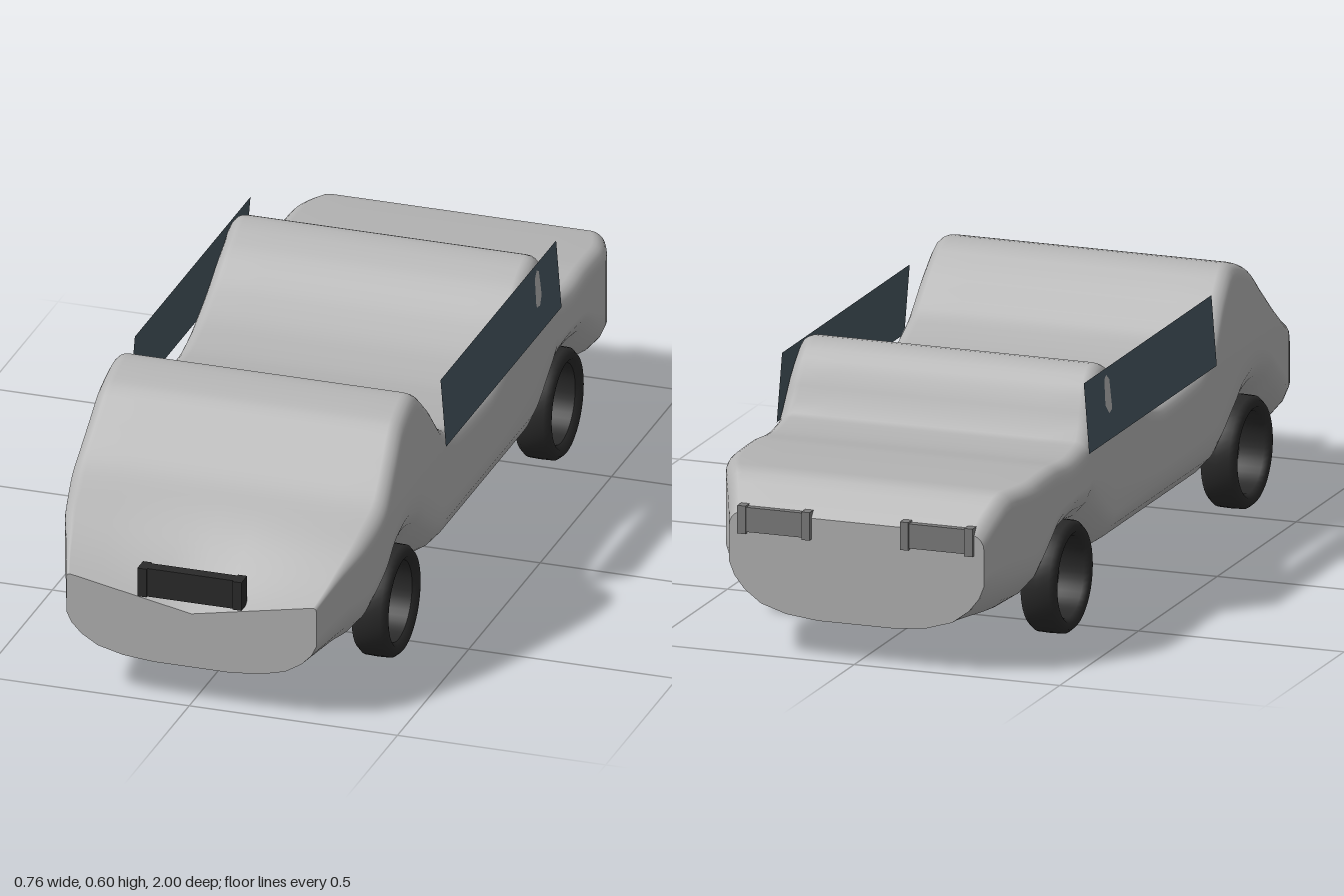
import * as THREE from 'three';

const paint = new THREE.MeshStandardMaterial({ color: 0xb2b2b2 });
paint.name = 'silver paint';
const rubber = new THREE.MeshStandardMaterial({ color: 0x2a2a2a });
rubber.name = 'black rubber';
const glass = new THREE.MeshStandardMaterial({ color: 0x475660, side: THREE.DoubleSide });
glass.name = 'dark glass';
const lamp = new THREE.MeshStandardMaterial({ color: 0x7c7c7c });
lamp.name = 'grey lamp';

// Body outlines as [z, value] pairs
const TOP = [[-0.985, 0.33], [-0.95, 0.37], [-0.9, 0.413], [-0.7, 0.42], [-0.6, 0.412], [-0.5, 0.425],
  [-0.43, 0.54], [-0.375, 0.583], [-0.3, 0.55], [-0.2, 0.47], [-0.1, 0.415], [0, 0.395], [0.2, 0.405],
  [0.31, 0.45], [0.4, 0.55], [0.47, 0.6], [0.56, 0.573], [0.63, 0.51], [0.72, 0.43], [0.85, 0.36], [0.985, 0.28]];
const BOTTOM = [[-0.985, 0.09], [-0.83, 0.092], [-0.72, 0.145], [-0.65, 0.195], [-0.57, 0.213], [-0.49, 0.195],
  [-0.43, 0.155], [-0.3, 0.09], [0.3, 0.09], [0.43, 0.155], [0.49, 0.195], [0.57, 0.213], [0.65, 0.195],
  [0.72, 0.145], [0.82, 0.092], [0.985, 0.09]];
const WIDTH = [[-0.985, 0.31], [-0.8, 0.378], [0.7, 0.378], [0.81, 0.362], [0.9, 0.33], [0.985, 0.3]];

// Smooth curve through pairs, without overshoot
function sample(pairs, z) {
  const last = pairs.length - 1;
  const slope = i => (pairs[i + 1][1] - pairs[i][1]) / (pairs[i + 1][0] - pairs[i][0]);
  const tangent = i => {
    if (i === 0) return slope(0);
    if (i === last) return slope(last - 1);
    const a = slope(i - 1), b = slope(i);
    return a * b <= 0 ? 0 : 2 * a * b / (a + b);
  };
  let i = 0;
  while (i < last - 1 && z > pairs[i + 1][0]) i++;
  const h = pairs[i + 1][0] - pairs[i][0], t = (z - pairs[i][0]) / h, t2 = t * t, t3 = t2 * t;
  return (2 * t3 - 3 * t2 + 1) * pairs[i][1] + (t3 - 2 * t2 + t) * h * tangent(i)
    + (3 * t2 - 2 * t3) * pairs[i + 1][1] + (t3 - t2) * h * tangent(i + 1);
}

// Closed cross-section: bottom centre, up the left side, over the top, down the right
function section(z) {
  const w = sample(WIDTH, z), yb = sample(BOTTOM, z), yt = sample(TOP, z);
  const c = Math.min(0.13, (yt - yb) * 0.5);
  const nose = THREE.MathUtils.smoothstep(z, 0.75, 0.985);
  const r = THREE.MathUtils.lerp(0.035, 0.008, nose);
  const swell = 0.004 * Math.exp(-(((z + 0.36) / 0.035) ** 2));
  const side = y => w - Math.max(0, y - 0.4) * 0.085 + (y > 0.44 ? swell : 0);
  const half = [[0, 0], [0.3, 0], [0.55, 0.07], [0.75, 0.23], [0.88, 0.48], [0.96, 0.74], [1, 1]]
    .map(([u, v]) => [u * w, yb + v * c]);
  for (let k = 1; k <= 5; k++) {
    const y = THREE.MathUtils.lerp(yb + c, yt - r, k / 5);
    half.push([side(y), y]);
  }
  const edge = side(yt - r);
  for (let k = 1; k <= 5; k++) {
    const a = k / 5 * Math.PI / 2;
    half.push([edge - r + r * Math.cos(a), yt - r + r * Math.sin(a)]);
  }
  for (const u of [0.75, 0.5, 0.25, 0]) half.push([u * (edge - r), yt - 0.057 * nose * (1 - u)]);
  const mirrored = half.slice(1, -1).reverse().map(([x, y]) => [-x, y]);
  return [...half, ...mirrored].map(([x, y]) => [x, y, z]);
}

function geometry(points, index) {
  const g = new THREE.BufferGeometry();
  g.setAttribute('position', new THREE.Float32BufferAttribute(points.flat(), 3));
  g.setIndex(index);
  g.computeVertexNormals();
  return g;
}

function shellGeometry() {
  const steps = 120, points = [], index = [];
  for (let i = 0; i <= steps; i++) points.push(...section(-0.985 + 1.97 * i / steps));
  const n = points.length / (steps + 1);
  for (let i = 0; i < steps; i++) for (let j = 0; j < n; j++) {
    const k = (j + 1) % n, a = i * n + j, b = i * n + k;
    index.push(a, b, b + n, a, b + n, a + n);
  }
  return geometry(points, index);
}

function endGeometry(z, front) {
  const ring = section(z), n = ring.length, index = [];
  for (let j = 0; j < n; j++) {
    const k = (j + 1) % n;
    index.push(n, front ? j : k, front ? k : j);
  }
  return geometry([...ring, [0, 0.18, z]], index);
}

export function createModel() {
  const car = new THREE.Group();
  car.name = 'car';
  const add = (name, geo, mat, x = 0, y = 0, z = 0, parent = car) => {
    const m = new THREE.Mesh(geo, mat);
    m.name = name;
    m.position.set(x, y, z);
    parent.add(m);
    return m;
  };

  // Body
  add('bodyShell', shellGeometry(), paint);
  add('frontEnd', endGeometry(0.985, true), paint);
  add('rearEnd', endGeometry(-0.985, false), paint);

  // Open ring tyres
  const profile = [[0.095, -0.03], [0.105, -0.042], [0.12, -0.042], [0.13, -0.03], [0.131, 0],
    [0.13, 0.03], [0.12, 0.042], [0.105, 0.042], [0.095, 0.03], [0.095, -0.03]]
    .map(([x, y]) => new THREE.Vector2(x, y));
  const tyre = new THREE.LatheGeometry(profile, 40).rotateZ(Math.PI / 2);
  for (const [sideName, s] of [['left', 1], ['right', -1]]) {
    add(sideName + 'FrontTyre', tyre, rubber, s * 0.327, 0.131, 0.575);
    add(sideName + 'RearTyre', tyre, rubber, s * 0.327, 0.131, -0.568);

    // Side window, leaning slightly inward
    const x0 = s * 0.38, x1 = s * 0.367;
    add(sideName + 'Window', geometry(
      [[x0, 0.405, 0.31], [x0, 0.405, -0.5], [x1, 0.57, -0.5], [x1, 0.57, 0.31]],
      s > 0 ? [0, 1, 2, 0, 2, 3] : [0, 2, 1, 0, 3, 2]), glass);

    // Tail lamp with raised ends
    const tail = new THREE.Group();
    tail.name = sideName + 'TailLamp';
    tail.position.set(s * 0.198, 0.313, -0.978);
    car.add(tail);
    add('lampPanel', new THREE.BoxGeometry(0.15, 0.058, 0.026), lamp, 0, 0, 0, tail);
    for (const e of [-1, 1])
      add('lampEnd', new THREE.BoxGeometry(0.02, 0.066, 0.036), lamp, e * 0.078, 0, 0, tail);
  }

  // Grille with raised ends
  const grille = new THREE.Group();
  grille.name = 'grille';
  grille.position.set(0, 0.29, 0.979);
  car.add(grille);
  add('grillePanel', new THREE.BoxGeometry(0.22, 0.07, 0.03), rubber, 0, 0, 0, grille);
  for (const e of [-1, 1])
    add('grilleEnd', new THREE.BoxGeometry(0.022, 0.07, 0.04), rubber, e * 0.114, 0, 0, grille);

  return car;
}
